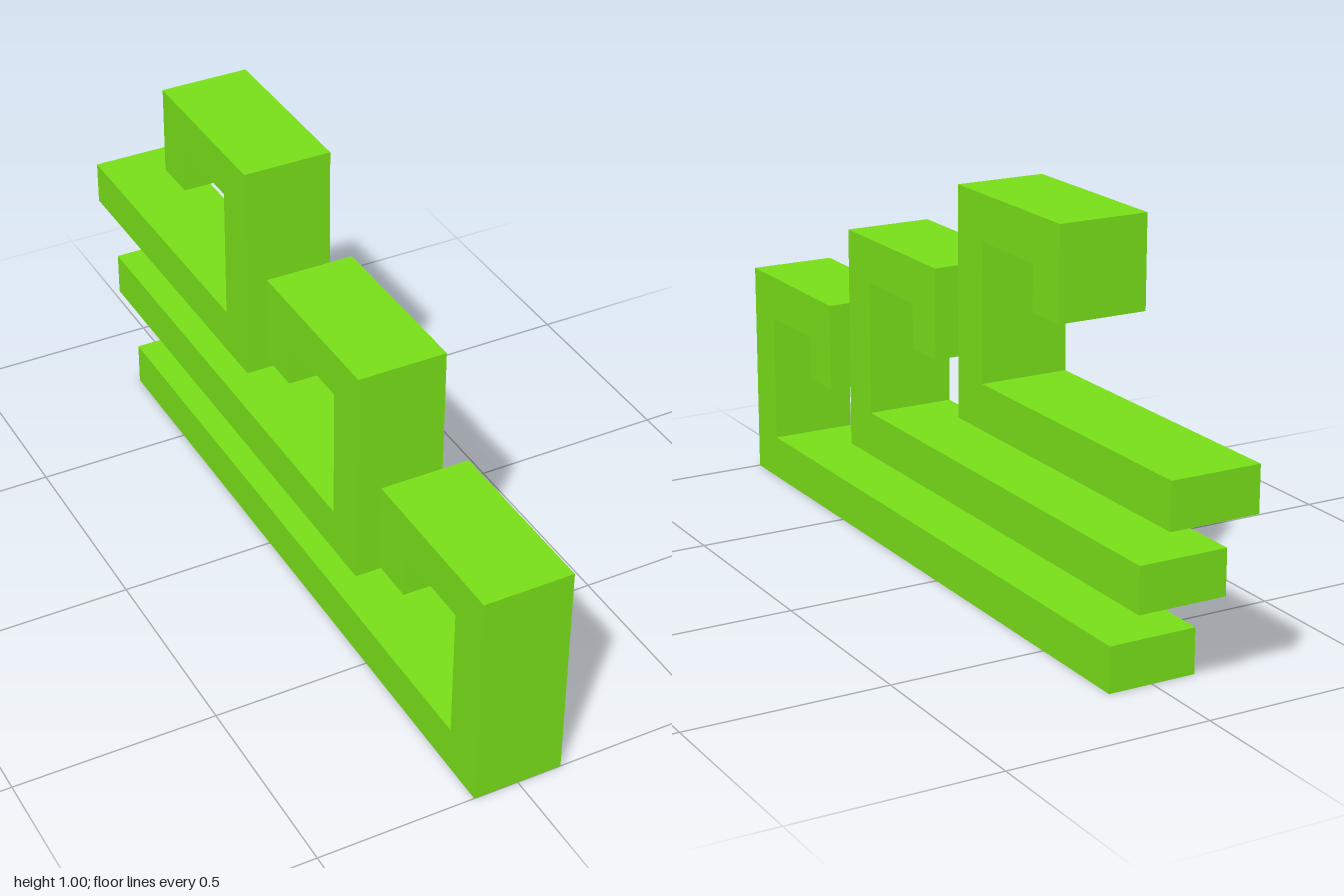
import * as THREE from 'three';

const U = 1 / 9; // strip thickness; every dimension is a multiple of it

// One hook: long foot, upright, top arm and a short lip turned down.
// The profile runs backwards from the upright's front face.
function hookGeometry(footLength) {
  const outline = [
    [0, 0], [footLength, 0], [footLength, 1], [1, 1], [1, 4], [3, 4],
    [3, 3], [4, 3], [4, 5], [0, 5],
  ].map(([s, y]) => new THREE.Vector2(s * U, y * U));
  const geometry = new THREE.ExtrudeGeometry(new THREE.Shape(outline), {
    depth: 2 * U, bevelEnabled: false,
  });
  geometry.translate(0, 0, -U);
  geometry.rotateY(Math.PI / 2); // profile length now points to -z
  return geometry;
}

export function createModel() {
  const group = new THREE.Group();
  group.name = 'steppedHooks';
  const material = new THREE.MeshStandardMaterial({ color: 0x77dd18 });

  // Three hooks, each higher, further back and with a shorter foot
  const names = ['lowerHook', 'middleHook', 'upperHook'];
  names.forEach((name, i) => {
    const hook = new THREE.Mesh(hookGeometry(16 - 4 * i), material);
    hook.name = name;
    hook.position.set(0, 2 * i * U, (9 - 5 * i) * U);
    group.add(hook);
  });
  return group;
}
